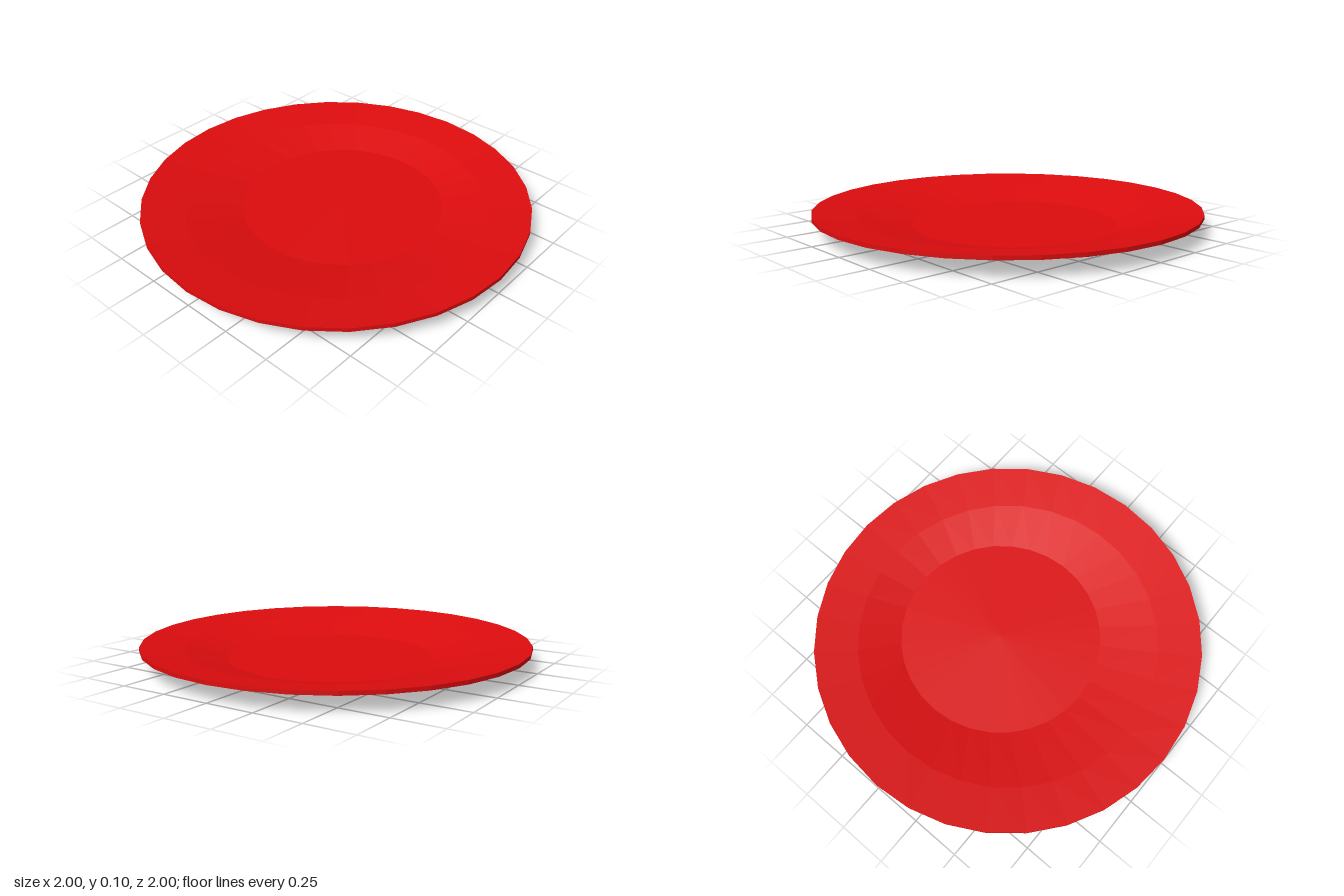
import * as THREE from 'three';

export function createModel() {
  const model = new THREE.Group();
  model.name = 'plate';

  // Thin closed profile: underside out to the rim, then back across the top
  const profile = [
    [0, 0], [0.525, 0], [0.78, 0.05], [1, 0.08],
    [1, 0.1], [0.78, 0.07], [0.525, 0.02], [0, 0.02],
  ].map(([r, y]) => new THREE.Vector2(r, y));
  const geometry = new THREE.LatheGeometry(profile, 32);

  // The flat well sits slightly off centre, towards +x
  const pos = geometry.attributes.position;
  for (let i = 0; i < pos.count; i++) {
    const r = Math.hypot(pos.getX(i), pos.getZ(i));
    if (r < 0.6) pos.setX(i, pos.getX(i) + 0.05);
  }
  geometry.computeVertexNormals();

  const material = new THREE.MeshStandardMaterial({ color: 0xdd0c0e, flatShading: true });
  const dish = new THREE.Mesh(geometry, material);
  dish.name = 'dish';
  model.add(dish);
  return model;
}
